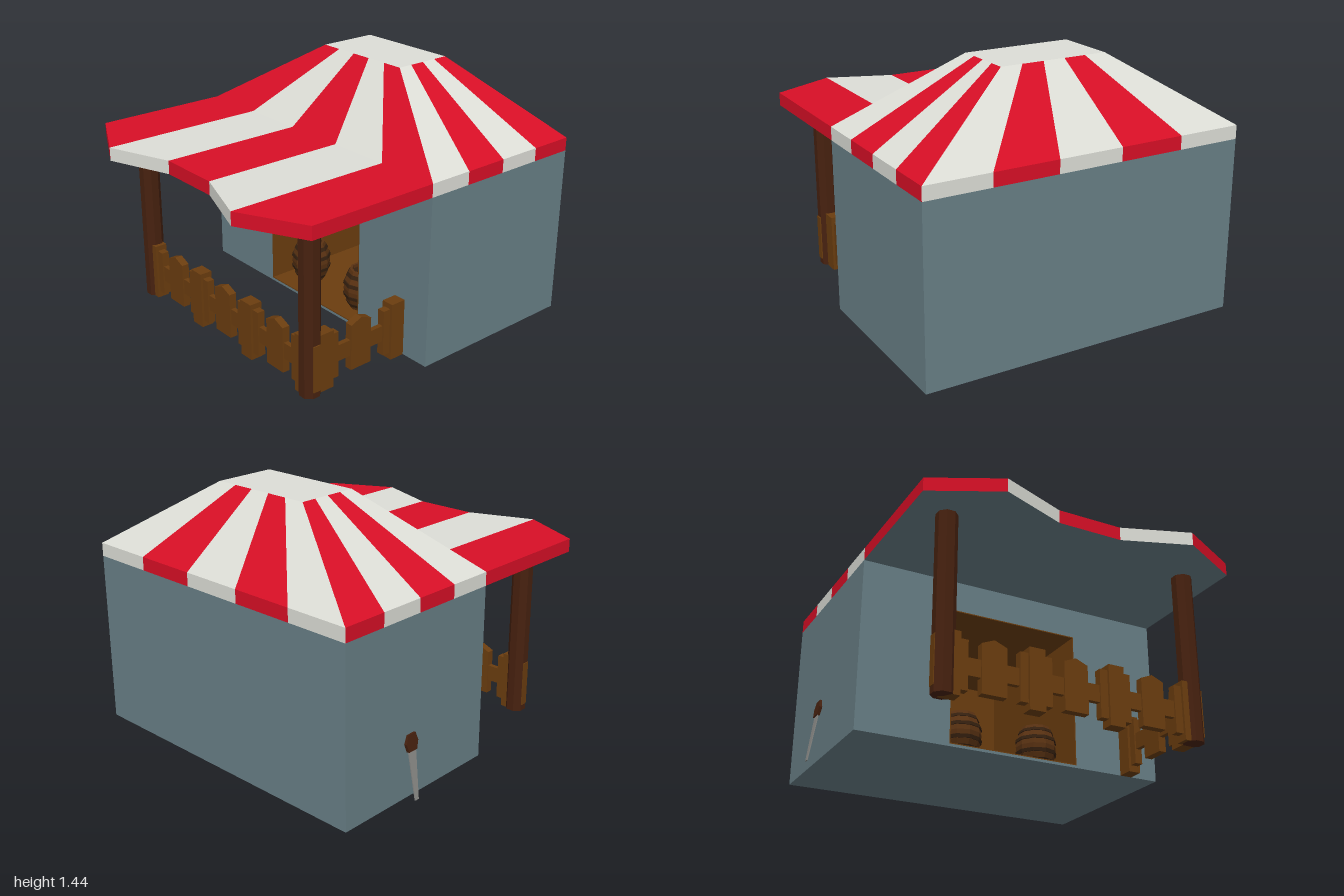
import * as THREE from 'three';

const mat = (name, color, opts = {}) => {
  const m = new THREE.MeshStandardMaterial({ color, flatShading: true, ...opts });
  m.name = name;
  return m;
};

export function createModel() {
  const red = mat('awningRed', 0xd80f26);
  const white = mat('awningWhite', 0xdddeD7);
  const teal = mat('wallTeal', 0x687f86);
  const plank = mat('plankBrown', 0x6b3d0f);
  const post = mat('postBrown', 0x47210f);
  const barrelWood = mat('barrelWood', 0x5a3212, { side: THREE.DoubleSide });
  const hoopDark = mat('hoopDark', 0x35200f);
  const steel = mat('steelGrey', 0x8b8b88, { side: THREE.DoubleSide });

  const root = new THREE.Group();
  root.name = 'marketStall';
  const add = (name, geo, material, parent = root) => {
    const m = new THREE.Mesh(geo, material);
    m.name = name;
    parent.add(m);
    return m;
  };
  const group = (name, parent = root) => {
    const g = new THREE.Group();
    g.name = name;
    parent.add(g);
    return g;
  };
  // box given by its extents
  const box = (name, x0, x1, y0, y1, z0, z1, material, parent) => {
    const m = add(name, new THREE.BoxGeometry(x1 - x0, y1 - y0, z1 - z0), material, parent);
    m.position.set((x0 + x1) / 2, (y0 + y1) / 2, (z0 + z1) / 2);
    return m;
  };
  // one mesh from four-cornered faces, corners counter-clockwise from outside
  const quads = (name, faces, material, parent) => {
    const p = faces.flatMap(([a, b, c, d]) => [a, b, c, a, c, d]).flat();
    const g = new THREE.BufferGeometry();
    g.setAttribute('position', new THREE.Float32BufferAttribute(p, 3));
    g.computeVertexNormals();
    return add(name, g, material, parent);
  };

  const L = -0.89, R = 0.945, B = -1, F = 0.04;
  const eave = 0.97, rim = 1.045, peak = 1.435;

  // Walls with a deep doorway
  const front = new THREE.Shape([[L, 0], [R, 0], [R, eave], [L, eave]].map(p => new THREE.Vector2(...p)));
  const dl = -0.36, dr = 0.415, db = 0.015, dt = 0.795, dz = -0.95;
  front.holes.push(new THREE.Path([[dl, db], [dl, dt], [dr, dt], [dr, db]].map(p => new THREE.Vector2(...p))));
  const walls = group('walls');
  add('wallShell', new THREE.ExtrudeGeometry(front, { depth: F - dz, bevelEnabled: false }), teal, walls).position.z = dz;
  box('backWall', L, R, 0, eave, B, dz, teal, walls);
  const t = 0.006;
  const lining = group('doorwayLining');
  box('liningLeft', dl, dl + t, db, dt, dz, F, plank, lining);
  box('liningRight', dr - t, dr, db, dt, dz, F, plank, lining);
  box('liningFloor', dl, dr, db, db + t, dz, F, plank, lining);
  box('liningCeiling', dl, dr, dt - t, dt, dz, F, plank, lining);
  box('liningBack', dl, dr, db, dt, dz, dz + t, plank, lining);

  // Striped hipped roof: valance band below, slope above
  const low = [[L, F], [R, F], [R, B], [L, B]];
  const high = [[-0.28, -0.305], [0.335, -0.305], [0.335, -0.655], [-0.28, -0.655]];
  const mix = (a, b, k) => [a[0] + (b[0] - a[0]) * k, a[1] + (b[1] - a[1]) * k];
  const at = ([x, z], y) => [x, y, z];
  const reds = [], whites = [];
  const sides = [{ n: 5, redFirst: true }, { n: 4 }, { n: 5 }, { n: 4, redFirst: true }];
  sides.forEach(({ n, redFirst }, s) => {
    const e = (s + 1) % 4;
    for (let i = 0; i < n; i++) {
      const a = mix(low[s], low[e], i / n), b = mix(low[s], low[e], (i + 1) / n);
      const c = mix(high[s], high[e], (i + 1) / n), d = mix(high[s], high[e], i / n);
      const list = (i % 2 === 0) === !!redFirst ? reds : whites;
      list.push([at(a, eave), at(b, eave), at(b, rim), at(a, rim)]);
      list.push([at(a, rim), at(b, rim), at(c, peak), at(d, peak)]);
    }
  });
  whites.push(high.map(p => at(p, peak)));
  const roof = group('roof');
  quads('roofRedStripes', reds, red, roof);
  quads('roofWhiteStripes', whites, white, roof);

  // Flat awning with a zigzag front edge
  const edgeZ = [0.815, 1, 0.865, 0.865, 1, 0.815];
  const edge = edgeZ.map((z, i) => [L + (R - L) * i / 5, z]);
  const awning = group('awning');
  const under = [];
  for (let i = 0; i < 5; i++) {
    const a = edge[i], b = edge[i + 1], c = [b[0], F], d = [a[0], F];
    const faces = [
      [at(a, rim), at(b, rim), at(c, rim), at(d, rim)],
      [at(a, eave), at(b, eave), at(b, rim), at(a, rim)],
    ];
    if (i === 0) faces.push([at(d, eave), at(a, eave), at(a, rim), at(d, rim)]);
    if (i === 4) faces.push([at(b, eave), at(c, eave), at(c, rim), at(b, rim)]);
    quads('awningStripe', faces, i % 2 ? white : red, awning);
    under.push([at(d, eave), at(c, eave), at(b, eave), at(a, eave)]);
  }
  quads('awningUnderside', under, teal, awning);

  // Columns
  const colX = [-0.692, 0.745], colZ = 0.665;
  for (const x of colX) {
    const g = new THREE.CylinderGeometry(0.058, 0.058, eave, 8);
    g.rotateY(Math.PI / 8);
    add('column', g, post).position.set(x, eave / 2, colZ);
  }

  // Fence pieces, running along local x
  const picketShape = new THREE.Shape([[-0.068, 0.038], [0.068, 0.038], [0.068, 0.3], [0, 0.328], [-0.068, 0.3]]
    .map(p => new THREE.Vector2(...p)));
  const fence = (name, from, to, posts, pickets) => {
    const g = group(name);
    box('rail', from, to, 0.12, 0.213, -0.014, 0.014, plank, g);
    for (const x of posts) {
      box('fencePost', x - 0.045, x + 0.045, 0, 0.33, -0.036, 0.036, plank, g);
      box('postBoard', x - 0.09, x + 0.09, 0.037, 0.3, -0.022, 0.022, plank, g);
    }
    for (const x of pickets) {
      add('picket', new THREE.ExtrudeGeometry(picketShape, { depth: 0.044, bevelEnabled: false }), plank, g)
        .position.set(x, 0, -0.022);
    }
    return g;
  };
  fence('frontFence', colX[0], colX[1], [-0.66, -0.2, 0.258, 0.715], [-0.43, 0.028, 0.488]).position.z = colZ;
  const sideFence = fence('sideFence', -0.62, -0.04, [-0.578, -0.085], [-0.333]);
  sideFence.rotation.y = Math.PI / 2;
  sideFence.position.x = 0.74;

  // Barrels in the doorway
  const V = (x, y) => new THREE.Vector2(x, y);
  const barrel = (x, z) => {
    const g = group('barrel');
    g.position.set(x, db + t, z);
    const staves = [V(0, 0), V(0.08, 0), V(0.108, 0.07), V(0.115, 0.12), V(0.108, 0.17), V(0.08, 0.24),
      V(0.066, 0.24), V(0.066, 0.21), V(0, 0.21)];
    add('staves', new THREE.LatheGeometry(staves, 10), barrelWood, g);
    for (const [y, r0, r1] of [[0.03, 0.092, 0.102], [0.082, 0.114, 0.118], [0.158, 0.118, 0.114], [0.21, 0.102, 0.092]]) {
      add('hoop', new THREE.CylinderGeometry(r1, r0, 0.02, 10), hoopDark, g).position.y = y;
    }
    const lid = add('barrelTop', new THREE.CylinderGeometry(0.066, 0.066, 0.004, 10), hoopDark, g);
    lid.position.y = 0.213;
  };
  barrel(-0.21, -0.14);
  barrel(0.26, -0.14);

  // Hand saw leaning on the left wall
  const saw = group('handSaw');
  const flat = (name, pts, depth, material) => {
    const s = new THREE.Shape(pts.map(p => V(...p)));
    add(name, new THREE.ExtrudeGeometry(s, { depth, bevelEnabled: false }), material, saw).position.z = -depth / 2;
  };
  flat('sawBlade', [[-0.012, 0], [0.014, 0], [0.03, 0.28], [-0.028, 0.28]], 0.006, steel);
  flat('sawHandle', [[-0.03, 0.265], [0.03, 0.265], [0.045, 0.31], [0.03, 0.355], [-0.025, 0.355], [-0.042, 0.31]], 0.018, post);
  saw.rotation.set(0, -Math.PI / 2, 0);
  saw.rotation.order = 'ZYX';
  saw.rotation.z = -0.14;
  saw.position.set(-0.942, 0, -0.54);

  return root;
}
